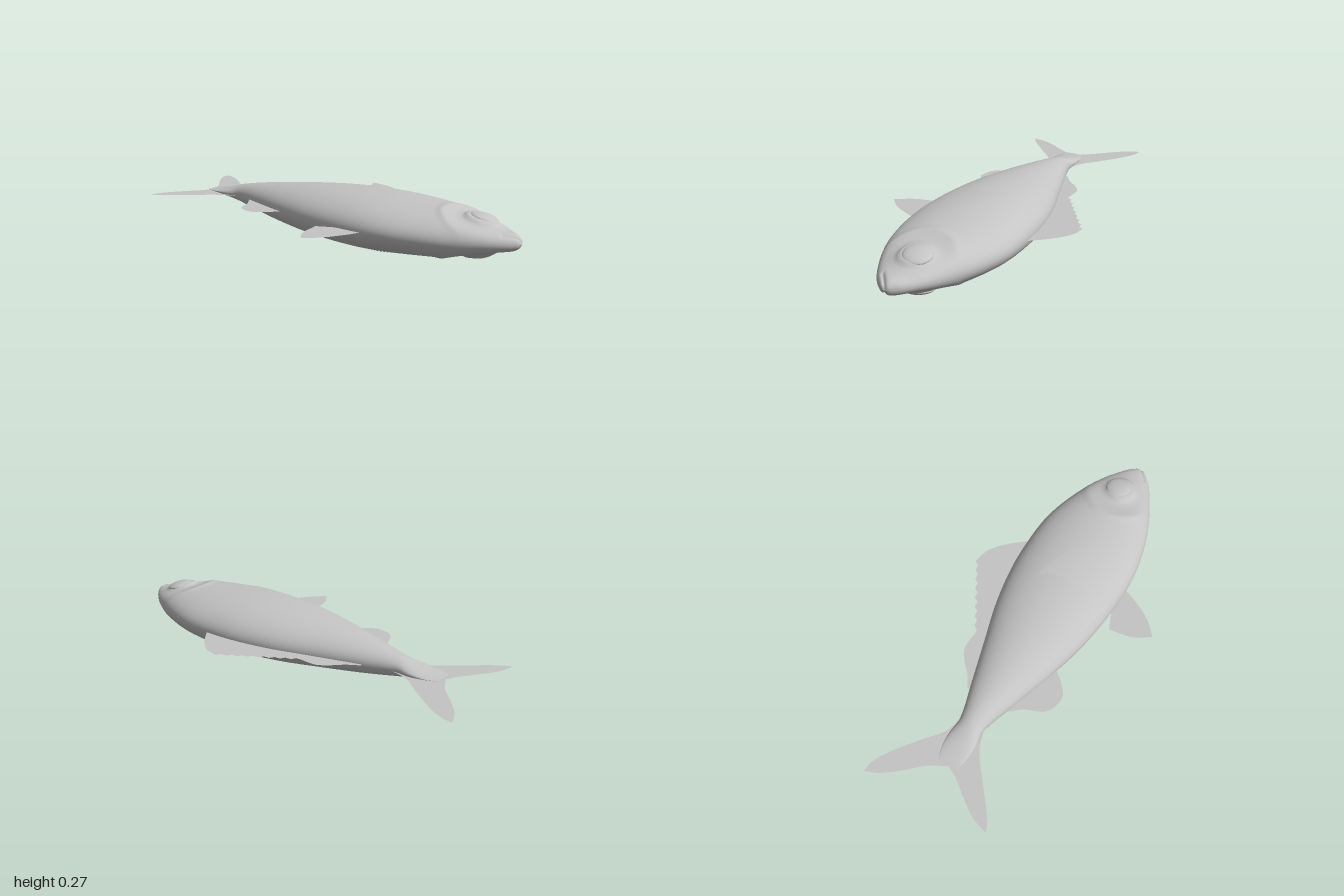
import * as THREE from 'three';

const MID = 0.138; // height of the body's plane of symmetry

// Body stations: x, back edge z, belly edge z, half thickness
const STATIONS = [
  [-0.78, -0.08, 0.02, 0.001], [-0.72, -0.1, 0.03, 0.009], [-0.65, -0.105, 0.035, 0.024],
  [-0.57, -0.1, 0.025, 0.046], [-0.4, -0.148, 0.078, 0.075], [-0.2, -0.207, 0.145, 0.1],
  [0, -0.265, 0.2, 0.119], [0.2, -0.299, 0.231, 0.129], [0.37, -0.305, 0.241, 0.127],
  [0.5, -0.297, 0.232, 0.119], [0.6, -0.275, 0.212, 0.112], [0.7, -0.24, 0.182, 0.104],
  [0.8, -0.195, 0.138, 0.09], [0.88, -0.148, 0.095, 0.069], [0.93, -0.11, 0.063, 0.05],
  [0.965, -0.079, 0.034, 0.036], [0.985, -0.055, 0.012, 0.026], [0.995, -0.041, -0.002, 0.016],
  [1, -0.025, -0.02, 0.001],
];

const smooth = (a, b, v) => THREE.MathUtils.smoothstep(v, a, b);

// Cubic interpolation of one station column
function profile(x, k) {
  const S = STATIONS, n = S.length;
  let i = 0;
  while (i < n - 2 && x > S[i + 1][0]) i++;
  const slope = (j) => {
    const a = S[Math.max(j - 1, 0)], b = S[Math.min(j + 1, n - 1)];
    return (b[k] - a[k]) / (b[0] - a[0]);
  };
  const w = S[i + 1][0] - S[i][0], t = (x - S[i][0]) / w, t2 = t * t, t3 = t2 * t;
  return (2 * t3 - 3 * t2 + 1) * S[i][k] + (t3 - 2 * t2 + t) * w * slope(i)
    + (3 * t2 - 2 * t3) * S[i + 1][k] + (t3 - t2) * w * slope(i + 1);
}

// Height of the flank above the middle plane, with eye socket, cheek and mouth grooves
function flank(x, z, round) {
  const r = Math.hypot(x - 0.81, z + 0.04);
  const ring = 0.012 * smooth(0.06, 0.085, r) * (1 - smooth(0.1, 0.165, r));
  const ridge = 0.005 * Math.exp(-(((r - 0.172) / 0.016) ** 2)) * (x < 0.8 ? 1 : 0.2);
  const along = THREE.MathUtils.clamp(((1 - x) * 0.77 + (z + 0.025) * 0.64) / 0.08, 0, 1);
  const off = Math.hypot(x - 1 + along * 0.062, z + 0.025 - along * 0.051);
  const mouth = 0.009 * Math.exp(-((off / 0.007) ** 2));
  return Math.max(0, profile(x, 3) * round + (ridge - ring - mouth) * round);
}

function flankAt(x, z) {
  const a = profile(x, 1), b = profile(x, 2);
  const u = (z - (a + b) / 2) / ((b - a) / 2);
  return flank(x, z, Math.sqrt(Math.max(0, 1 - u * u)));
}

// Grid of points turned into a surface
function gridGeometry(rows, cols, wrap, point) {
  const pos = [], index = [];
  for (let i = 0; i <= rows; i++) {
    for (let j = 0; j < cols; j++) pos.push(...point(i, j));
  }
  for (let i = 0; i < rows; i++) {
    for (let j = 0; j < (wrap ? cols : cols - 1); j++) {
      const k = (j + 1) % cols;
      const a = i * cols + j, b = a + cols, c = i * cols + k, d = c + cols;
      index.push(a, b, c, b, d, c);
    }
  }
  const g = new THREE.BufferGeometry();
  g.setAttribute('position', new THREE.Float32BufferAttribute(pos, 3));
  g.setIndex(index);
  g.computeVertexNormals();
  return g;
}

const curve = (pts) => new THREE.CatmullRomCurve3(pts.map(([x, z]) => new THREE.Vector3(x, 0, z)));

// Flat fin from runs of points; every run is a smooth edge, with corners between runs
function flatFin(runs) {
  const outline = [];
  for (const run of runs) {
    const pts = run.length > 2 ? curve(run).getPoints(run.length * 4)
      : run.map(([x, z]) => new THREE.Vector3(x, 0, z));
    pts.forEach((p) => {
      const q = new THREE.Vector2(p.x, -p.z);
      if (!outline.length || outline[outline.length - 1].distanceTo(q) > 1e-4) outline.push(q);
    });
  }
  return new THREE.ShapeGeometry(new THREE.Shape(outline)).rotateX(-Math.PI / 2);
}

export function createModel() {
  const group = new THREE.Group();
  const skin = new THREE.MeshStandardMaterial({ color: 0xc4c4c4 });
  skin.name = 'plain grey';
  skin.side = THREE.DoubleSide;

  const add = (name, geometry, y = MID) => {
    const mesh = new THREE.Mesh(geometry, skin);
    mesh.name = name;
    mesh.position.y = y;
    group.add(mesh);
    return mesh;
  };

  // Body: oval sections, closer together towards the snout
  const ROWS = 170, COLS = 96;
  add('body', gridGeometry(ROWS, COLS, true, (i, j) => {
    const x = -0.78 + 1.78 * Math.sin((i / ROWS) * Math.PI / 2);
    const a = (j / COLS) * Math.PI * 2, s = Math.sin(a);
    const back = profile(x, 1), belly = profile(x, 2);
    const z = (back + belly) / 2 + ((belly - back) / 2) * Math.cos(a);
    return [x, Math.sign(s) * flank(x, z, Math.abs(s)), z];
  }));

  // Tail
  add('tailFin', flatFin([
    [[-0.55, -0.095], [-0.65, -0.122], [-0.75, -0.2], [-0.87, -0.29], [-0.95, -0.333], [-1, -0.34]],
    [[-1, -0.34], [-0.975, -0.28], [-0.92, -0.205], [-0.83, -0.105], [-0.785, -0.025]],
    [[-0.785, -0.025], [-0.81, 0.03], [-0.87, 0.115], [-0.92, 0.195], [-0.945, 0.28]],
    [[-0.945, 0.28], [-0.89, 0.25], [-0.78, 0.16], [-0.65, 0.055], [-0.55, 0.02]],
  ]), 0.13);

  // Back fin with a stepped, spiny trailing edge
  const spines = [];
  for (let i = 0; i < 8; i++) {
    const x = 0.13 - i * 0.041, z = -0.47 + i * 0.0255;
    spines.push([[x, z], [x - 0.012, z + 0.023]], [[x - 0.012, z + 0.023], [x - 0.041, z + 0.0255]]);
  }
  add('dorsalFin', flatFin([
    [[0.37, -0.27], [0.36, -0.303]],
    [[0.36, -0.303], [0.29, -0.385], [0.21, -0.45], [0.13, -0.47]],
    ...spines,
    [[-0.2, -0.268], [-0.28, -0.268], [-0.33, -0.235], [-0.38, -0.185], [-0.435, -0.15]],
    [[-0.43, -0.13], [-0.2, -0.18]], [[0, -0.24], [0.2, -0.27]],
  ]));

  // Fins under the belly
  add('analFin', flatFin([
    [[-0.435, 0.068], [-0.385, 0.13], [-0.345, 0.215], [-0.3, 0.245], [-0.24, 0.25], [-0.19, 0.215], [-0.14, 0.155]],
    [[-0.2, 0.12], [-0.4, 0.06]],
  ]));
  add('pelvicFin', flatFin([
    [[0.385, 0.22], [0.355, 0.3], [0.3, 0.4], [0.235, 0.465]],
    [[0.235, 0.465], [0.185, 0.385], [0.16, 0.27]],
    [[0.16, 0.27], [0.24, 0.236]], [[0.24, 0.22], [0.3, 0.215]],
  ]));

  // Side fins hug the flanks and lift a little towards the tip
  const front = curve([[0.18, -0.145], [0.31, -0.1], [0.41, -0.03], [0.48, 0.04], [0.44, 0.15]]);
  const rear = curve([[0.18, -0.145], [0.225, -0.05], [0.23, 0.05], [0.24, 0.125]]);
  for (const [side, s] of [['right', 1], ['left', -1]]) {
    add(`${side}PectoralFin`, gridGeometry(24, 12, false, (i, j) => {
      const p = front.getPoint(i / 24).lerp(rear.getPoint(i / 24), j / 11);
      const lift = 0.002 + 0.012 * (1 - i / 24) ** 2;
      return [p.x, s * Math.min(0.138, flankAt(p.x, p.z) + lift), p.z];
    }));

    // Eye: shallow dome set in its socket
    const eye = add(`${side}Eye`, new THREE.SphereGeometry(0.062, 40, 24));
    eye.scale.set(1, 0.28, 1);
    eye.rotation.set(-s * 0.12, 0, -s * 0.22);
    eye.position.set(0.812, MID + s * 0.077, -0.055);
  }
  return group;
}
